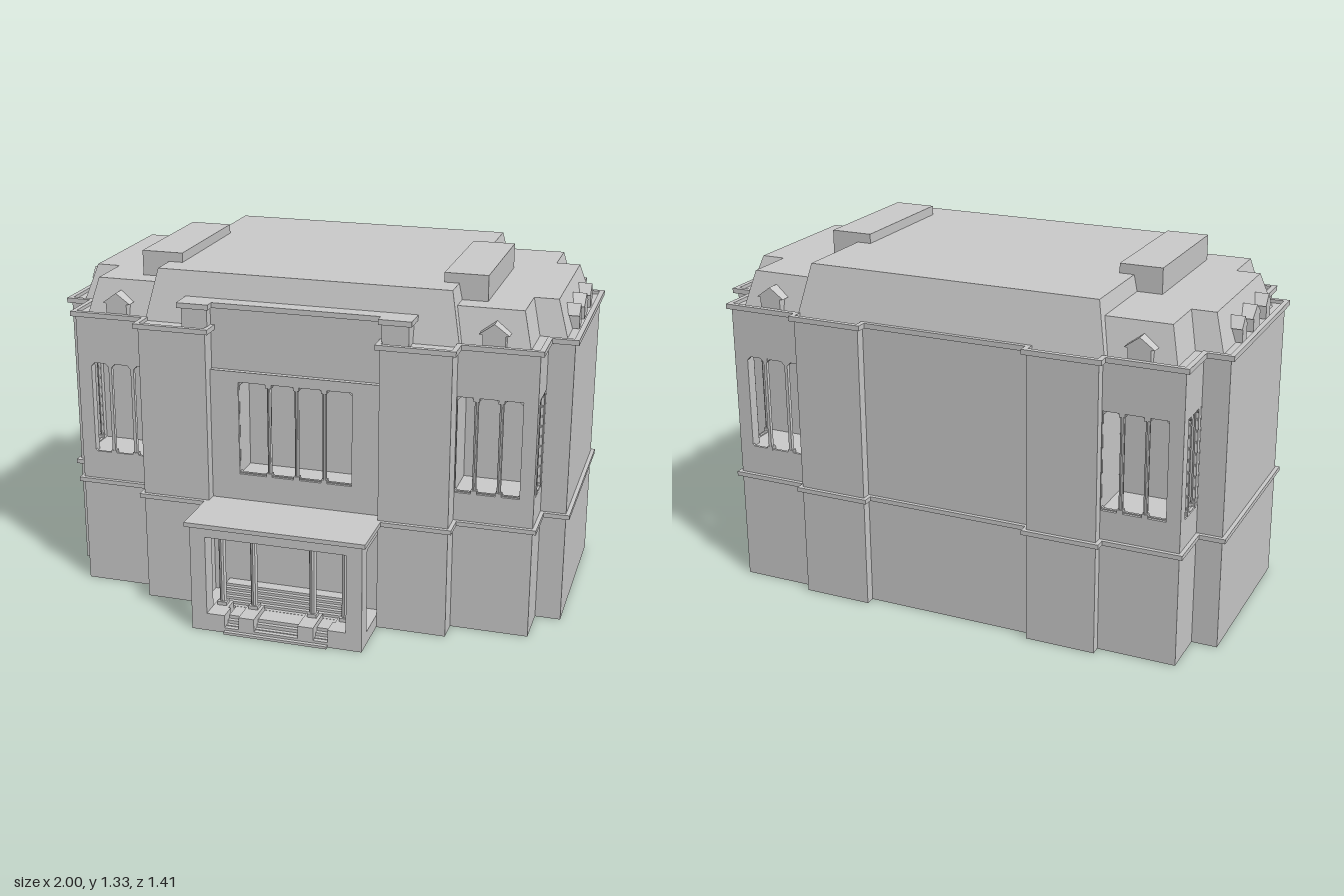
import * as THREE from 'three';

const mat = new THREE.MeshStandardMaterial({ color: 0xcccccc, side: THREE.DoubleSide, flatShading: true });
const V = (x, y) => new THREE.Vector2(x, y);
const WALL_TOP = 1.1;

export function createModel() {
  const root = new THREE.Group();
  const add = (name, geo) => {
    const m = new THREE.Mesh(geo, mat);
    m.name = name;
    root.add(m);
    return m;
  };
  // Box given by its limits on each axis
  const box = (name, x0, x1, y0, y1, z0, z1) => {
    const g = new THREE.BoxGeometry(Math.abs(x1 - x0), y1 - y0, Math.abs(z1 - z0));
    return add(name, g.translate((x0 + x1) / 2, (y0 + y1) / 2, (z0 + z1) / 2));
  };
  // Plan outline [x, z] raised from y0 to y1
  const slab = (name, pts, y0, y1) => {
    const shape = new THREE.Shape(pts.map(([x, z]) => V(x, -z)));
    const g = new THREE.ExtrudeGeometry(shape, { depth: y1 - y0, bevelEnabled: false });
    return add(name, g.rotateX(-Math.PI / 2).translate(0, y0, 0));
  };
  const rect = (x0, x1, y0, y1) => [V(x0, y0), V(x1, y0), V(x1, y1), V(x0, y1)];
  const mirrored = (half) => [...half, ...half.map(([x, z]) => [-x, z]).reverse()];
  // Sloped solid between a lower and an upper plan outline
  const mansard = (name, low, high, y0, y1) => {
    const n = low.length, pos = [], idx = [];
    low.forEach(([x, z]) => pos.push(x, y0, z));
    high.forEach(([x, z]) => pos.push(x, y1, z));
    for (let i = 0; i < n; i++) {
      const j = (i + 1) % n;
      idx.push(i, j, n + j, i, n + j, n + i);
    }
    THREE.ShapeUtils.triangulateShape(high.map(([x, z]) => V(x, -z)), [])
      .forEach((t) => idx.push(...t.map((k) => k + n)));
    let g = new THREE.BufferGeometry();
    g.setAttribute('position', new THREE.Float32BufferAttribute(pos, 3));
    g.setIndex(idx);
    g = g.toNonIndexed();
    g.computeVertexNormals();
    return add(name, g);
  };
  // Upright panel from plan point a to b, with an optional rectangular opening
  const panel = (name, a, b, y0, y1, hole, depth = 0) => {
    const dx = b[0] - a[0], dz = b[1] - a[1];
    const shape = new THREE.Shape(rect(0, Math.hypot(dx, dz), y0, y1));
    if (hole) [].concat(hole).forEach((h) => shape.holes.push(new THREE.Path(h.pts)));
    const g = depth
      ? new THREE.ExtrudeGeometry(shape, { depth, bevelEnabled: false }).translate(0, 0, -depth)
      : new THREE.ShapeGeometry(shape);
    return add(name, g.rotateY(Math.atan2(-dz, dx)).translate(a[0], 0, a[1]));
  };
  const column = (name, x, z, y0, y1, r) => {
    add(name, new THREE.CylinderGeometry(r, r, y1 - y0, 10).translate(x, (y0 + y1) / 2, z));
    for (const y of [y0, y1 - 0.014]) box(name + 'Block', x - r * 1.4, x + r * 1.4, y, y + 0.014, z - r * 1.4, z + r * 1.4);
  };
  // Row of chamfer-headed lights filling an opening, set between round mullions
  const lights = (a, b, y0, y1, cuts) => {
    const L = Math.hypot(b[0] - a[0], b[1] - a[1]), e = [0, ...cuts, L], m = 0.006, c = 0.014;
    const holes = [];
    for (let i = 0; i < e.length - 1; i++) {
      const l = e[i] + (i ? m : 0.001), r = e[i + 1] - (i < e.length - 2 ? m : 0.001), t = y1 - 0.004, s = y0 + 0.004;
      holes.push({ pts: [V(l, s + c / 2), V(l + c / 2, s), V(r - c / 2, s), V(r, s + c / 2), V(r, t - c), V(l + c, t), V(l, t - c)].map((p, k, q) => p) });
      holes[i].pts.splice(5, 1, V(r - c, t), V(l + c, t));
    }
    panel('windowTracery', a, b, y0, y1, holes, 0.01);
    cuts.forEach((t) => column('windowMullion', a[0] + (b[0] - a[0]) * t / L, a[1] + (b[1] - a[1]) * t / L, y0, y1, 0.008));
  };

  // Outer walls: right half of the plan, front to back
  const half = [[0.33, 0.42], [0.33, 0.483], [0.594, 0.483], [0.594, 0.395], [0.888, 0.395], [0.888, 0.223], [0.984, 0.223],
    [0.984, -0.468], [0.888, -0.468], [0.888, -0.653], [0.594, -0.653], [0.594, -0.69], [0.33, -0.69], [0.33, -0.653]];
  const plan = mirrored(half);
  const W0 = 0.545, W1 = 0.915;
  for (let i = 0; i < plan.length - 1; i++) {
    const a = plan[i], b = plan[i + 1];
    const [mx, mz] = [(a[0] + b[0]) / 2, (a[1] + b[1]) / 2];
    const L = Math.hypot(b[0] - a[0], b[1] - a[1]);
    let hole = null;
    // The four notched corners carry the loggia openings
    if (Math.abs(Math.abs(mx) - 0.741) < 0.01) {
      hole = mx > 0 === mz > 0 ? [0.002, 0.241] : [L - 0.241, L - 0.002];
    } else if (Math.abs(Math.abs(mx) - 0.888) < 0.01 && L < 0.2) {
      const d = mz > 0 ? 0.135 : 0.139;
      hole = mx > 0 === mz > 0 ? [L - d, L - 0.002] : [0.002, d];
    }
    panel('outerWall', a, b, 0, WALL_TOP, hole && { pts: rect(hole[0], hole[1], W0, W1) });
  }

  // Corner loggias
  for (const s of [1, -1]) for (const [zi, zp, zo, f] of [[0.223, 0.358, 0.395, 1], [-0.468, -0.607, -0.653, -1]]) {
    const xs = (v) => s * v;
    for (const y of [W0 - 0.01, W1]) box('loggiaFloorAndCeiling', xs(0.594), xs(0.886), y, y + 0.01, zi, zo - f * 0.002);
    panel('loggiaInnerWall', [xs(0.594), zi], [xs(0.594), zo], W0, W1);
    panel('loggiaInnerWall', [xs(0.594), zi], [xs(0.888), zi], W0, W1);
    box('loggiaCornerPost', xs(0.835), xs(0.886), W0, W1, zp, zo - f * 0.002);
    lights([xs(0.594), zo - f * 0.012], [xs(0.835), zo - f * 0.012], W0, W1, [0.072, 0.163]);
    lights([xs(0.876), zi], [xs(0.876), zp], W0, W1, [0.017, 0.1]);
  }

  // Recessed centre bay with its window niche and frieze
  panel('centreWall', [-0.33, 0.44], [0.33, 0.44], 0, 0.945, { pts: rect(0.11, 0.548, 0.54, 0.905) });
  box('centreLedge', -0.33, 0.33, 0.935, 0.944, 0.4, 0.439);
  box('centreFrieze', -0.33, 0.33, 0.945, 1.18, 0.38, 0.42);
  for (const y of [0.53, 0.905]) box('nicheFloorAndCeiling', -0.22, 0.218, y, y + 0.01, 0.32, 0.438);
  panel('nicheBack', [-0.22, 0.32], [0.218, 0.32], 0.54, 0.905);
  for (const x of [-0.22, 0.218]) panel('nicheSide', [x, 0.32], [x, 0.438], 0.54, 0.905);
  lights([-0.22, 0.428], [0.218, 0.428], 0.54, 0.905, [0.117, 0.224, 0.331]);

  // String course and cornice: open bands that follow the walls
  const offset = (pts, d) => pts.map((p, i) => {
    const q = [...p];
    for (const [a, b] of [[pts[i - 1], p], [p, pts[i + 1]]]) {
      if (!a || !b) continue;
      const L = Math.hypot(b[0] - a[0], b[1] - a[1]);
      q[0] -= d * (b[1] - a[1]) / L;
      q[1] += d * (b[0] - a[0]) / L;
    }
    return q;
  });
  const band = [...offset(plan, 0.015), ...offset(plan, -0.004).reverse()];
  slab('stringCourse', band, 0.42, 0.437);
  slab('cornice', band, 1.094, 1.113);
  slab('roofDeck', plan, WALL_TOP - 0.01, WALL_TOP);

  // Centre parapet
  box('parapetCap', -0.33, 0.33, 1.18, 1.2, 0.37, 0.435);
  for (const s of [1, -1]) {
    box('parapetPier', s * 0.33, s * 0.43, WALL_TOP, 1.18, 0.38, 0.457);
    box('parapetPierCap', s * 0.32, s * 0.443, 1.18, 1.2, 0.37, 0.472);
  }

  // Mansard roofs and chimneys
  const cross = (x0, zf0, zb0, x1, zf1, zb1) =>
    mirrored([[x1, zf1], [x1, zf0], [x0, zf0], [x0, zb0], [x1, zb0], [x1, zb1]]);
  mansard('sideRoof', cross(0.948, 0.176, -0.44, 0.848, 0.363, -0.625), cross(0.906, 0.138, -0.398, 0.815, 0.326, -0.588), WALL_TOP, 1.232);
  mansard('mainRoof', mirrored([[0.6, 0.4], [0.6, -0.655]]), mirrored([[0.56, 0.352], [0.56, -0.607]]), WALL_TOP, 1.292);
  for (const s of [1, -1]) box('chimney', s * 0.505, s * 0.667, 1.2, 1.328, -0.272, 0.245);

  // Dormers: gabled prisms facing outwards
  const dormer = (x, z, turn, w) => {
    const g = new THREE.ExtrudeGeometry(new THREE.Shape([V(-w * 0.75, 0), V(w * 0.75, 0), V(w * 0.75, 0.048),
      V(w, 0.05), V(0, 0.09), V(-w, 0.05), V(-w * 0.75, 0.048)]), { depth: 0.075, bevelEnabled: false });
    add('dormer', g.translate(0, 0, -0.075).rotateY(turn).translate(x, WALL_TOP + 0.002, z));
  };
  for (const s of [1, -1]) {
    dormer(s * 0.72, 0.39, 0, 0.055);
    dormer(s * 0.72, -0.648, Math.PI, 0.055);
    for (const [z, w] of [[0.026, 0.034], [-0.125, 0.053], [-0.275, 0.034]]) dormer(s * 0.972, z, s * Math.PI / 2, w);
  }

  // Portico front frame with notches for the steps
  const frame = new THREE.Shape(rect(-0.33, 0.33, 0, 0.42));
  const right = [[0.085, 0.02], [0.085, 0.07], [0.145, 0.07], [0.145, 0.02], [0.2, 0.02], [0.2, 0.07], [0.27, 0.07], [0.27, 0.38]];
  frame.holes.push(new THREE.Path(mirrored(right).map(([x, y]) => V(x, y))));
  add('porticoFront', new THREE.ExtrudeGeometry(frame, { depth: 0.068, bevelEnabled: false }).translate(0, 0, 0.622));
  box('porticoRoof', -0.345, 0.345, 0.42, 0.437, 0.425, 0.705);
  box('porticoCeiling', -0.329, 0.329, 0.4, 0.42, 0.44, 0.63);
  box('entranceSlab', -0.2, 0.2, 0, 0.01, 0.64, 0.705);
  for (const s of [1, -1]) {
    box('porticoSideLintel', s * 0.27, s * 0.33, 0.38, 0.42, 0.44, 0.622);
    box('porticoSideSill', s * 0.27, s * 0.33, 0, 0.05, 0.44, 0.622);
    for (const x of [0.115, 0.24]) {
      box('columnPlinth', s * x - 0.03, s * x + 0.03, 0.03, 0.07, 0.565, 0.622);
      column('porticoColumn', s * x, 0.593, 0.07, 0.4, 0.013);
    }
  }

  // Entrance steps
  for (let i = 0; i < 3; i++) box('lowerStep', -0.2, 0.2, 0.01 + i * 0.013, 0.023 + i * 0.013, 0.55, 0.672 - i * 0.016);
  for (let i = 0; i < 6; i++) box('upperStep', -0.27, 0.27, 0.04 + i * 0.01, 0.05 + i * 0.01, 0.44, 0.565 - i * 0.016);

  return root;
}
